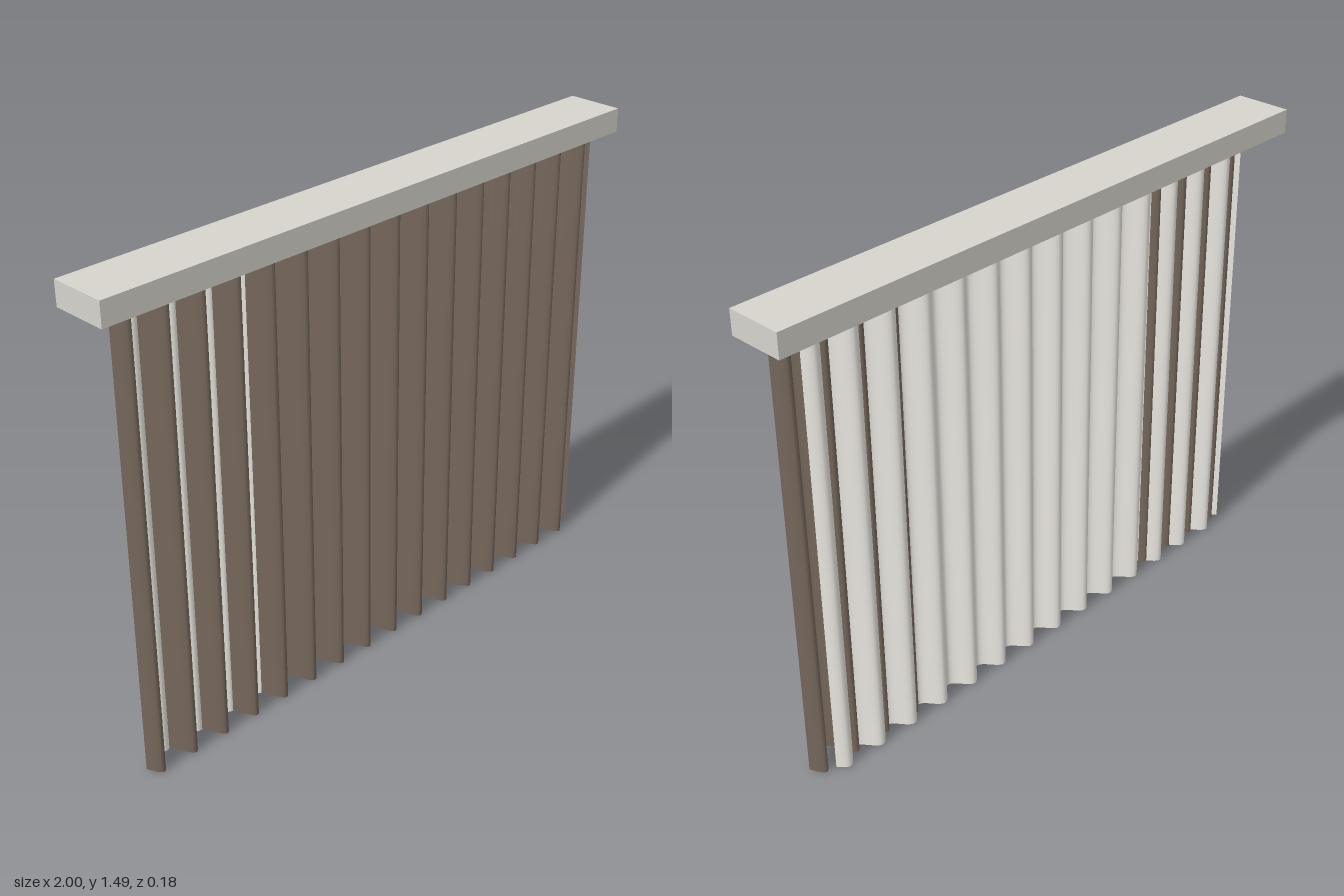
import * as THREE from 'three';

const TOP = 1.43;

// Hanging cloth: a plane whose vertices follow a sine wave of folds.
function pleatedSheet(name, { halfWidth, folds, midZ, depth, color }) {
  const geometry = new THREE.PlaneGeometry(2 * halfWidth, TOP, folds * 16, 4);
  geometry.translate(0, TOP / 2, 0);
  const pos = geometry.attributes.position;
  for (let i = 0; i < pos.count; i++) {
    const t = (pos.getX(i) + halfWidth) / (2 * halfWidth);
    pos.setZ(i, midZ + depth * Math.sin(t * folds * Math.PI * 2));
  }
  geometry.computeVertexNormals();
  const material = new THREE.MeshStandardMaterial({ color, side: THREE.DoubleSide });
  const mesh = new THREE.Mesh(geometry, material);
  mesh.name = name;
  return mesh;
}

export function createModel() {
  const group = new THREE.Group();
  group.name = 'curtain';

  // Pelmet box along the top
  const pelmet = new THREE.Mesh(
    new THREE.BoxGeometry(2, 0.075, 0.18),
    new THREE.MeshStandardMaterial({ color: 0xd6d4cd })
  );
  pelmet.name = 'pelmet';
  pelmet.position.y = 1.455;
  group.add(pelmet);

  // Heavy front drape with deep folds
  group.add(pleatedSheet('drape', {
    halfWidth: 0.94, folds: 16, midZ: 0.035, depth: 0.045, color: 0x75675b,
  }));

  // Pale rear lining: slightly narrower, with fewer and shallower folds
  group.add(pleatedSheet('lining', {
    halfWidth: 0.88, folds: 14, midZ: -0.013, depth: 0.027, color: 0xeeebe4,
  }));

  return group;
}
